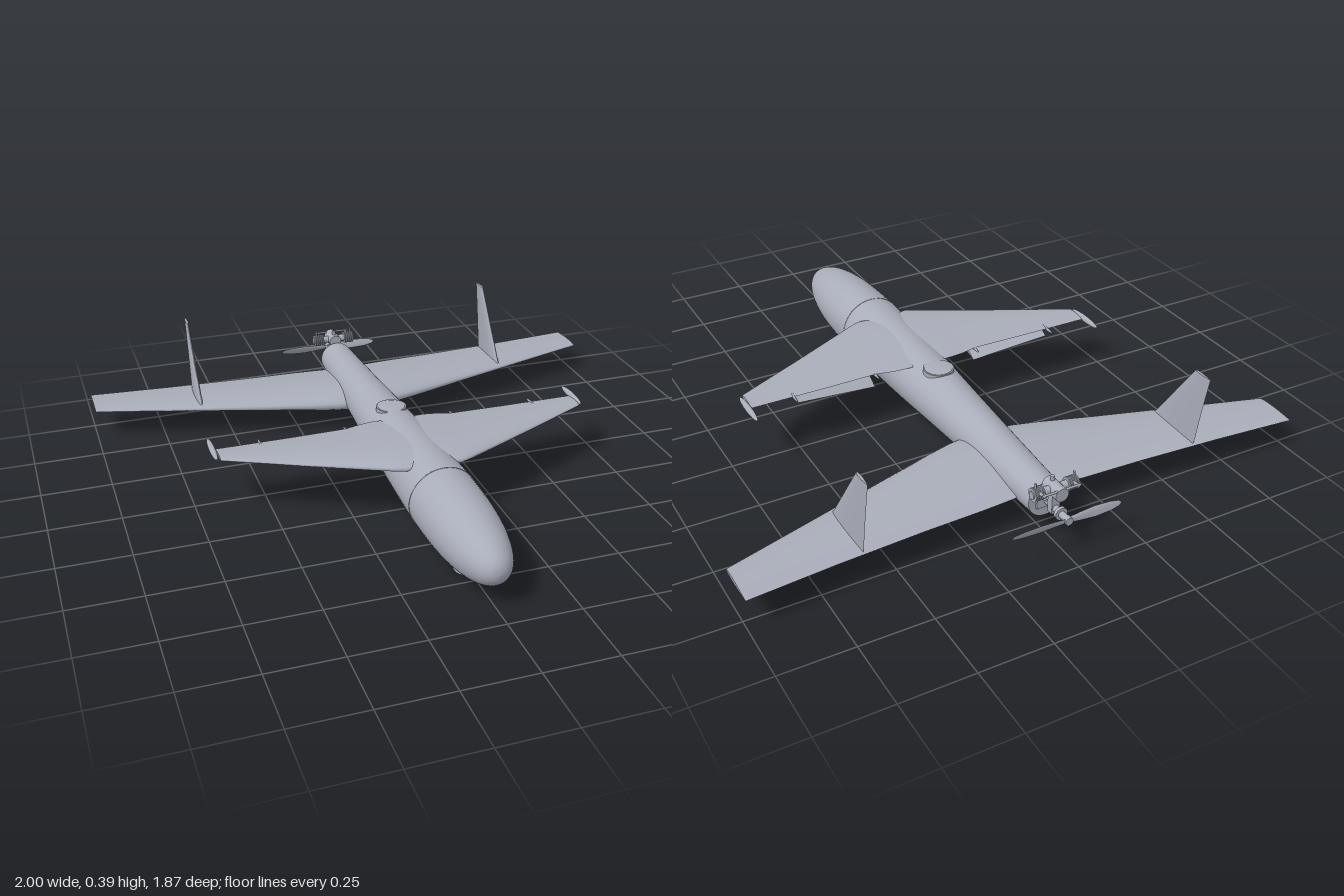
import * as THREE from 'three';

const skin = new THREE.MeshStandardMaterial({ color: 0xa9adb9, side: THREE.DoubleSide });
skin.name = 'light grey';

// Airfoil loft along x. Section: [x, leading z, trailing z, y, thickness, droop of trailing edge]
function airfoilLoft(sections, n = 28) {
  const pos = [], idx = [];
  const ringOf = ([x, le, te, y, t, droop = 0]) => {
    const ring = [];
    for (let i = 0; i <= n; i++) {
      const a = Math.PI * (1 - 2 * i / n);
      const f = (1 - Math.cos(a)) / 2;
      const h = 1.3 * t * Math.sqrt(f) * (1 - f) * -Math.sign(Math.sin(a) || 1);
      ring.push([x, y - droop * f + h, le + (te - le) * f]);
    }
    return ring.reverse();
  };
  const rings = sections.map(ringOf);
  // reversed ring runs trailing edge - underside - nose - top
  rings.forEach(r => r.forEach(p => pos.push(...p)));
  const w = n + 1;
  for (let s = 0; s < rings.length - 1; s++) {
    for (let i = 0; i < n; i++) {
      const a = s * w + i, b = a + w;
      idx.push(a, a + 1, b, b, a + 1, b + 1);
    }
  }
  // end caps
  [0, rings.length - 1].forEach((s, end) => {
    const base = pos.length / 3;
    rings[s].forEach(p => pos.push(...p));
    for (let i = 1; i < n - 1; i++) {
      if (end) idx.push(base, base + i, base + i + 1);
      else idx.push(base, base + i + 1, base + i);
    }
  });
  // keep the winding outward
  const p0 = (i) => new THREE.Vector3(pos[3 * i], pos[3 * i + 1], pos[3 * i + 2]);
  let vol = 0;
  for (let i = 0; i < idx.length; i += 3) vol += p0(idx[i]).dot(p0(idx[i + 1]).cross(p0(idx[i + 2])));
  if (vol < 0) for (let i = 0; i < idx.length; i += 3) [idx[i], idx[i + 1]] = [idx[i + 1], idx[i]];
  const g = new THREE.BufferGeometry();
  g.setAttribute('position', new THREE.Float32BufferAttribute(pos, 3));
  g.setIndex(idx);
  g.computeVertexNormals();
  return g;
}

// Right half mirrored to the left so one loft spans both sides
const bothSides = half => [...half.map(([x, ...r]) => [-x, ...r]).reverse(), ...half];

export function createModel() {
  const model = new THREE.Group();
  const add = (name, geo, x = 0, y = 0, z = 0, parent = model) => {
    const m = new THREE.Mesh(geo, skin);
    m.name = name;
    m.position.set(x, y, z);
    parent.add(m);
    return m;
  };
  const box = (w, h, d) => new THREE.BoxGeometry(w, h, d);
  const rod = (r, len, axis = 'y', seg = 20, r2 = r) => {
    const g = new THREE.CylinderGeometry(r, r2, len, seg);
    if (axis === 'x') g.rotateZ(Math.PI / 2);
    if (axis === 'z') g.rotateX(Math.PI / 2);
    return g;
  };
  const axisY = 0.13;

  // Fuselage: tapered tail, rounded nose
  const outline = new THREE.SplineCurve([
    [0.064, -0.8], [0.078, -0.5], [0.094, -0.2], [0.108, 0.05], [0.117, 0.3], [0.12, 0.45],
    [0.117, 0.6], [0.107, 0.72], [0.088, 0.82], [0.062, 0.89], [0.032, 0.925], [0, 0.935],
  ].map(p => new THREE.Vector2(...p)));
  const profile = outline.getPoints(60);
  profile.forEach(p => { p.x = Math.max(p.x, 0); });
  add('fuselage', new THREE.LatheGeometry(profile, 48).rotateX(Math.PI / 2), 0, axisY, 0);
  add('tailBulkhead', new THREE.CircleGeometry(0.064, 40).rotateY(Math.PI), 0, axisY, -0.8);
  add('noseSeam', new THREE.TorusGeometry(0.1195, 0.002, 6, 48), 0, axisY, 0.45);

  // Rear main wing
  add('mainWing', airfoilLoft(bothSides([
    [0.06, -0.372, -0.735, 0.112, 0.08], [0.12, -0.38, -0.74, 0.112, 0.076],
    [0.2, -0.4, -0.745, 0.112, 0.07], [0.4, -0.459, -0.752, 0.112, 0.05],
    [0.7, -0.547, -0.77, 0.112, 0.03], [1, -0.635, -0.795, 0.112, 0.014],
  ])));

  // Forward wing, spanning across the top of the fuselage
  add('forwardWing', airfoilLoft(bothSides([
    [0.04, 0.36, -0.02, 0.213, 0.05], [0.1, 0.365, -0.02, 0.214, 0.045],
    [0.14, 0.348, -0.015, 0.213, 0.042], [0.2, 0.318, 0.0, 0.212, 0.04],
    [0.4, 0.22, 0.0, 0.21, 0.028], [0.665, 0.09, 0.0, 0.21, 0.014],
  ])));

  // Fins stand on the main wing, swept back
  const finShape = [
    [0, -0.53, -0.755, 0, 0.024], [0.03, -0.555, -0.762, 0, 0.022], [0.08, -0.59, -0.768, 0, 0.02],
    [0.17, -0.652, -0.782, 0, 0.016], [0.275, -0.725, -0.8, 0, 0.01],
  ];
  for (const s of [-1, 1]) {
    const side = s > 0 ? 'left' : 'right';
    add(side + 'Fin', airfoilLoft(finShape).rotateZ(Math.PI / 2), 0.612 * s, 0.112, 0);

    // Drooped flap under the forward wing
    const flap = [
      [0.2 * s, 0.13, 0.01, 0.203, 0.02, 0.048],
      [0.5 * s, 0.055, -0.005, 0.207, 0.012, 0.022],
    ];
    if (s < 0) flap.reverse();
    add(side + 'Flap', airfoilLoft(flap), 0, 0, 0);

    // Slim pod on the forward wing tip
    add(side + 'TipPod', new THREE.SphereGeometry(1, 16, 16).scale(0.011, 0.012, 0.083), 0.676 * s, 0.21, 0);

    // Hinge fairings
    for (const [x, z] of [[0.2, 0.03], [0.51, 0.025]])
      add(side + 'HingeFairing', new THREE.SphereGeometry(1, 10, 8).scale(0.005, 0.008, 0.06), x * s, 0.207, z);
  }

  // Antenna disc on the back
  add('antennaBase', rod(0.055, 0.016, 'y', 32), 0, 0.222, -0.09);
  add('antennaCap', new THREE.SphereGeometry(0.05, 32, 8, 0, Math.PI * 2, 0, Math.PI / 2).scale(1, 0.12, 1), 0, 0.23, -0.09);

  // Belly sensors
  add('turretRing', rod(0.048, 0.024, 'y', 32), 0, 0.017, 0.68);
  add('turretDome', new THREE.SphereGeometry(0.042, 24, 16).scale(1, 0.28, 1), 0, 0.012, 0.68);
  add('noseCamera', new THREE.SphereGeometry(0.022, 16, 12), 0, 0.034, 0.755);
  add('bellyHatch', box(0.07, 0.012, 0.14), 0, 0.012, 0.46);

  // Engine: twin cylinders above a geared propeller shaft
  const engine = new THREE.Group();
  engine.name = 'engine';
  model.add(engine);
  const part = (name, geo, x, y, z) => add(name, geo, x, y, z, engine);
  part('crankcase', rod(0.024, 0.08, 'z'), 0, 0.197, -0.848);
  part('gearColumn', box(0.03, 0.09, 0.024), 0, 0.155, -0.845);
  part('propellerShaft', rod(0.012, 0.13, 'z'), 0, 0.128, -0.86);
  part('mountPlate', box(0.075, 0.07, 0.008), 0, 0.14, -0.805);
  part('gearWheel', rod(0.022, 0.012, 'z'), 0, 0.128, -0.885);
  part('intake', rod(0.007, 0.04), 0, 0.215, -0.83);
  part('exhaustBar', rod(0.004, 0.14, 'x', 10), 0, 0.212, -0.882);
  for (const s of [-1, 1]) {
    part('cylinder', rod(0.014, 0.08, 'x'), 0.044 * s, 0.197, -0.843);
    for (let i = 0; i < 5; i++)
      part('coolingFin', rod(0.023, 0.004, 'x'), (0.046 + i * 0.008) * s, 0.197, -0.843);
    part('sparkPlug', rod(0.004, 0.03, 'y', 8), 0.07 * s, 0.222, -0.843);
    part('exhaustPipe', rod(0.005, 0.045, 'z', 10), 0.062 * s, 0.208, -0.862);
    part('mountStrut', rod(0.005, 0.05, 'z', 10), 0.03 * s, 0.165, -0.825);
  }

  // Two-blade pusher propeller
  const propeller = new THREE.Group();
  propeller.name = 'propeller';
  propeller.position.set(0, 0.128, -0.925);
  model.add(propeller);
  add('hub', rod(0.014, 0.02, 'z'), 0, 0, 0, propeller);
  for (let k = 0; k < 2; k++) {
    const blade = airfoilLoft([
      [0.005, 0.009, -0.009, 0, 0.01], [0.05, 0.014, -0.014, 0, 0.007], [0.1, 0.018, -0.018, 0, 0.006],
      [0.16, 0.015, -0.015, 0, 0.004], [0.19, 0.009, -0.009, 0, 0.003], [0.198, 0.003, -0.003, 0, 0.002],
    ], 16).rotateX(1.25).rotateZ(Math.PI * k);
    add('blade', blade, 0, 0, 0, propeller);
  }
  return model;
}
